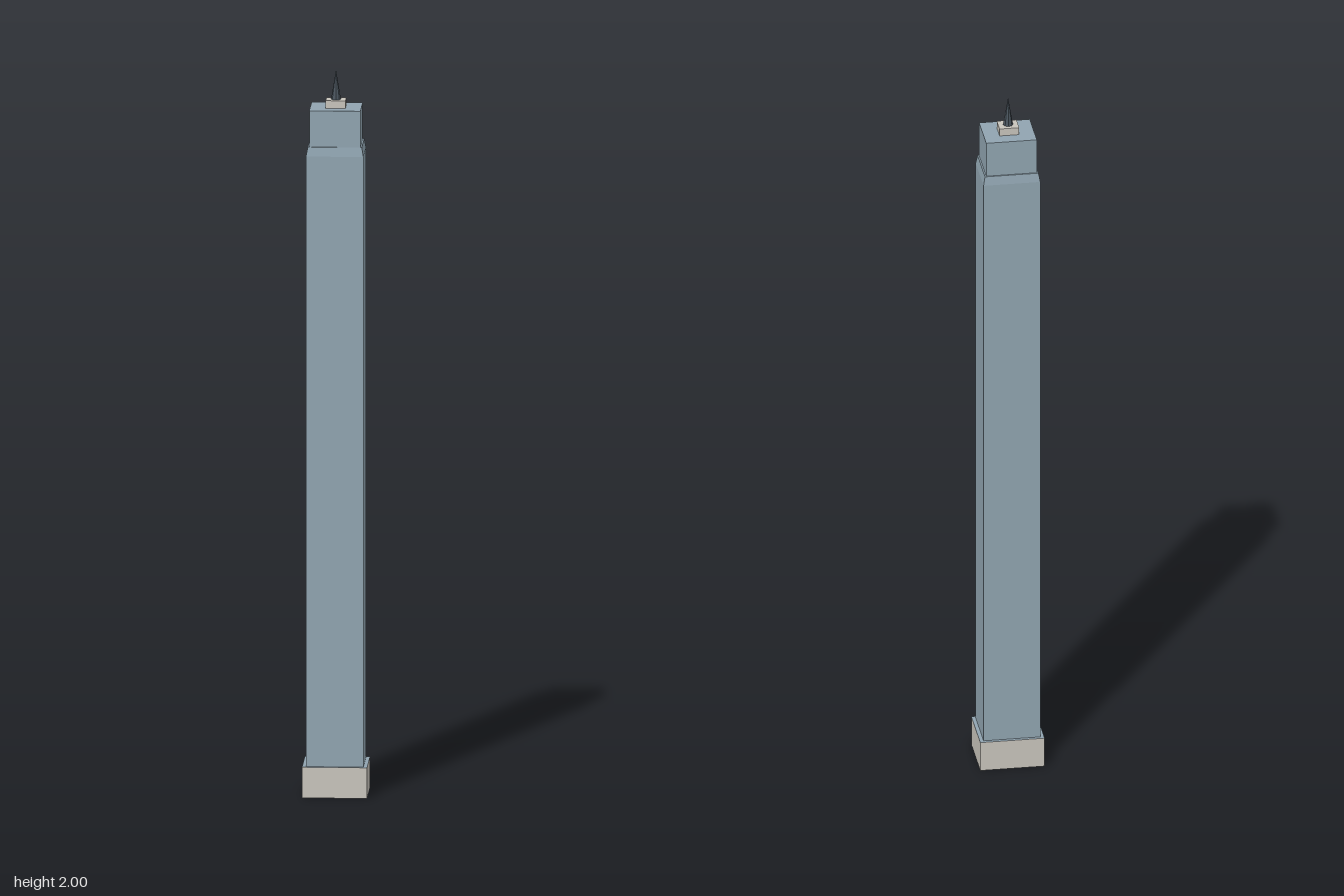
import * as THREE from 'three';

const glass = new THREE.MeshStandardMaterial({ color: 0x90a4b0, side: THREE.DoubleSide });
glass.name = 'blue grey glass';
const stone = new THREE.MeshStandardMaterial({ color: 0xc8c4bc, side: THREE.DoubleSide });
stone.name = 'pale stone';
const metal = new THREE.MeshStandardMaterial({ color: 0x4a555e });
metal.name = 'dark metal';

// Rectangular tube stacked from [width, depth, y] sections, with flat faces
function loft(sections, capTop = false) {
  const corners = ([w, d, y]) => [[-1, 1], [1, 1], [1, -1], [-1, -1]]
    .map(([sx, sz]) => [sx * w / 2, y, sz * d / 2]);
  const pos = [];
  const quad = (a, b, c, d) => pos.push(...a, ...b, ...c, ...a, ...c, ...d);
  for (let i = 0; i < sections.length - 1; i++) {
    const lo = corners(sections[i]);
    const hi = corners(sections[i + 1]);
    for (let k = 0; k < 4; k++) {
      const n = (k + 1) % 4;
      quad(lo[k], lo[n], hi[n], hi[k]);
    }
  }
  if (capTop) quad(...corners(sections[sections.length - 1]));
  const geometry = new THREE.BufferGeometry();
  geometry.setAttribute('position', new THREE.Float32BufferAttribute(pos, 3));
  geometry.computeVertexNormals();
  return geometry;
}

export function createModel() {
  const tower = new THREE.Group();
  tower.name = 'tower';
  const add = (name, geometry, material, y = 0) => {
    const mesh = new THREE.Mesh(geometry, material);
    mesh.name = name;
    mesh.position.y = y;
    tower.add(mesh);
  };

  // Hollow plinth walls, open underneath
  add('plinth', loft([[0.177, 0.16, 0], [0.177, 0.16, 0.085]]), stone);

  // Flat ledge closing the plinth
  add('ledge', new THREE.PlaneGeometry(0.177, 0.16).rotateX(-Math.PI / 2), glass, 0.085);

  // Shaft with chamfered shoulder, and the set-back upper storeys
  add('shaft', loft([
    [0.156, 0.141, 0.085], [0.156, 0.141, 1.772], [0.147, 0.133, 1.797],
    [0.139, 0.126, 1.797], [0.139, 0.126, 1.897],
  ], true), glass);

  // Roof block and spire
  add('roofBlock', new THREE.BoxGeometry(0.054, 0.021, 0.049), stone, 1.9075);
  const spire = new THREE.ConeGeometry(0.0135, 0.082, 8).toNonIndexed();
  spire.computeVertexNormals();
  add('spire', spire, metal, 1.959);

  // The whole tower stands slightly turned
  tower.rotation.y = 0.04;
  const model = new THREE.Group();
  model.name = 'skyscraper';
  model.add(tower);
  return model;
}
